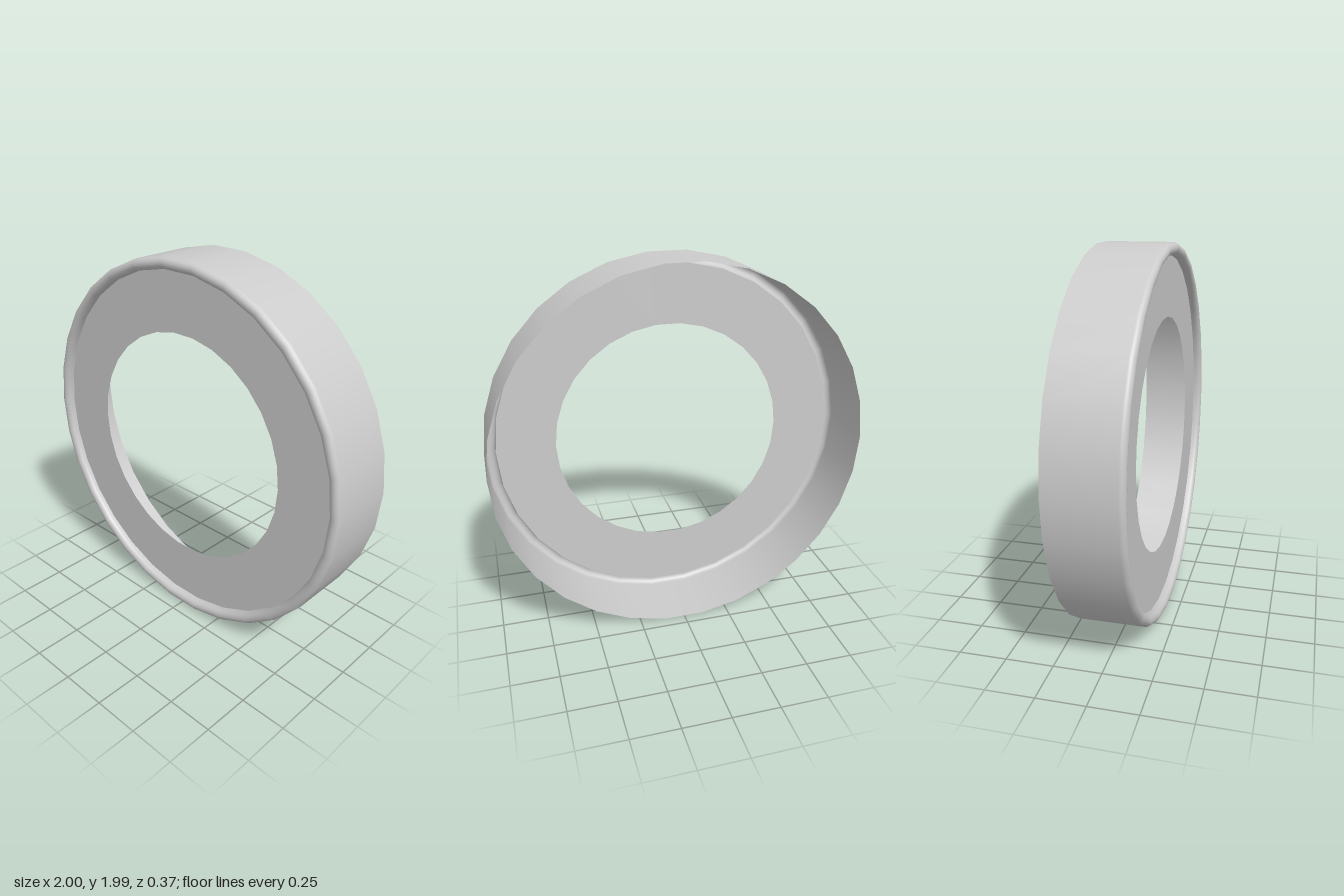
import * as THREE from 'three';

const SIDES = 30;
const HALF_DEPTH = 0.187;
const LIP_RADIUS = 0.03;
const PLATE_Z = 0.14;
const CENTRE_Y = Math.cos(Math.PI / SIDES); // rests on a flat side

export function createModel() {
  const group = new THREE.Group();
  group.name = 'ringCap';
  const material = new THREE.MeshStandardMaterial({ color: 0xcccccc, side: THREE.DoubleSide });

  // Outer wall, open at the back, rolling over a rounded lip at the front
  const lipZ = HALF_DEPTH - LIP_RADIUS;
  const profile = [new THREE.Vector2(1, -HALF_DEPTH)];
  for (let i = 0; i <= 8; i++) {
    const a = (i / 8) * Math.PI;
    profile.push(new THREE.Vector2(1 - LIP_RADIUS + LIP_RADIUS * Math.cos(a), lipZ + LIP_RADIUS * Math.sin(a)));
  }
  profile.push(new THREE.Vector2(1 - 2 * LIP_RADIUS, PLATE_Z));
  const wallGeometry = new THREE.LatheGeometry(profile, SIDES, Math.PI / 2);
  wallGeometry.rotateX(Math.PI / 2);
  const wall = new THREE.Mesh(wallGeometry, material);
  wall.name = 'wallAndLip';

  // Thin flat plate with a round opening, set just behind the lip
  const plate = new THREE.Mesh(new THREE.RingGeometry(0.625, 1 - 2 * LIP_RADIUS, SIDES), material);
  plate.name = 'facePlate';
  plate.position.z = PLATE_Z;

  group.add(wall, plate);
  for (const part of group.children) part.position.y = CENTRE_Y;
  return group;
}
